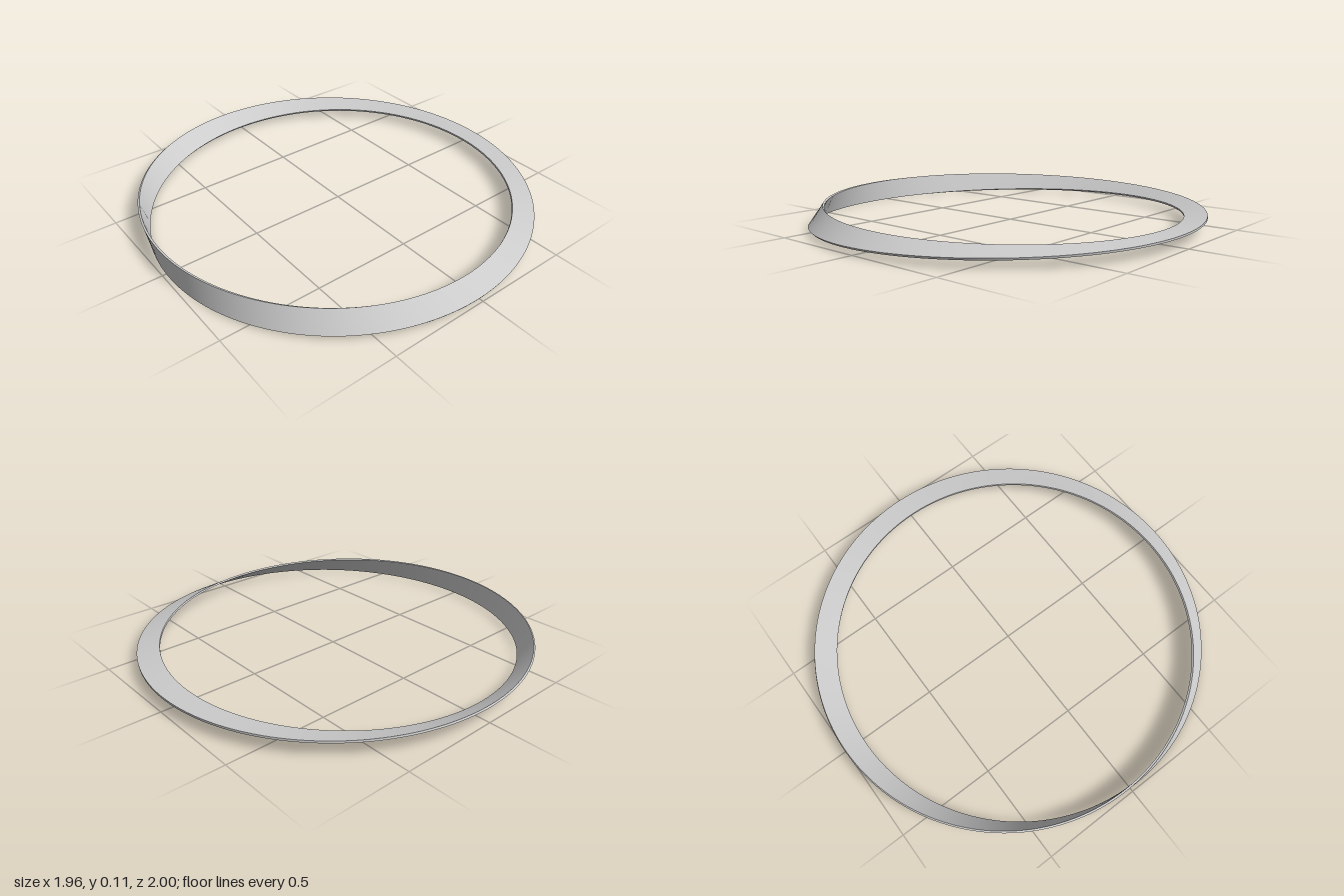
import * as THREE from 'three';

const R = 0.949, CENTRE_X = -0.027, WIDTH = 0.112, THICK = 0.01, STEPS = 240;

// Point on the half-twisted band: angle round the ring, offset across the width, offset through the thickness
function bandPoint(angle, u, v) {
  const twist = angle / 2 - 0.25 * Math.sin(angle); // gentle at +x, upright at -x
  const r = R + u * Math.cos(twist) + v * Math.sin(twist);
  const y = WIDTH / 2 - u * Math.sin(twist) + v * Math.cos(twist);
  return [CENTRE_X + r * Math.cos(angle), y, r * Math.sin(angle)];
}

// A ribbon between two cross-section corners; it closes on itself after two turns
function ribbon(name, a, b, material) {
  const positions = [], index = [];
  const rows = STEPS * 2;
  for (let i = 0; i <= rows; i++) {
    const angle = (i / STEPS) * Math.PI * 2;
    positions.push(...bandPoint(angle, ...a), ...bandPoint(angle, ...b));
    if (i < rows) {
      const k = i * 2;
      index.push(k, k + 2, k + 1, k + 1, k + 2, k + 3);
    }
  }
  const geometry = new THREE.BufferGeometry();
  geometry.setAttribute('position', new THREE.Float32BufferAttribute(positions, 3));
  geometry.setIndex(index);
  geometry.computeVertexNormals();
  const mesh = new THREE.Mesh(geometry, material);
  mesh.name = name;
  return mesh;
}

export function createModel() {
  const group = new THREE.Group();
  group.name = 'twistedBand';
  const material = new THREE.MeshStandardMaterial({ color: 0xcccccc });
  const w = WIDTH / 2, t = THICK / 2;
  // The single wide face, then the single narrow rim
  group.add(ribbon('bandFace', [-w, t], [w, t], material));
  group.add(ribbon('bandRim', [w, t], [w, -t], material));
  return group;
}
